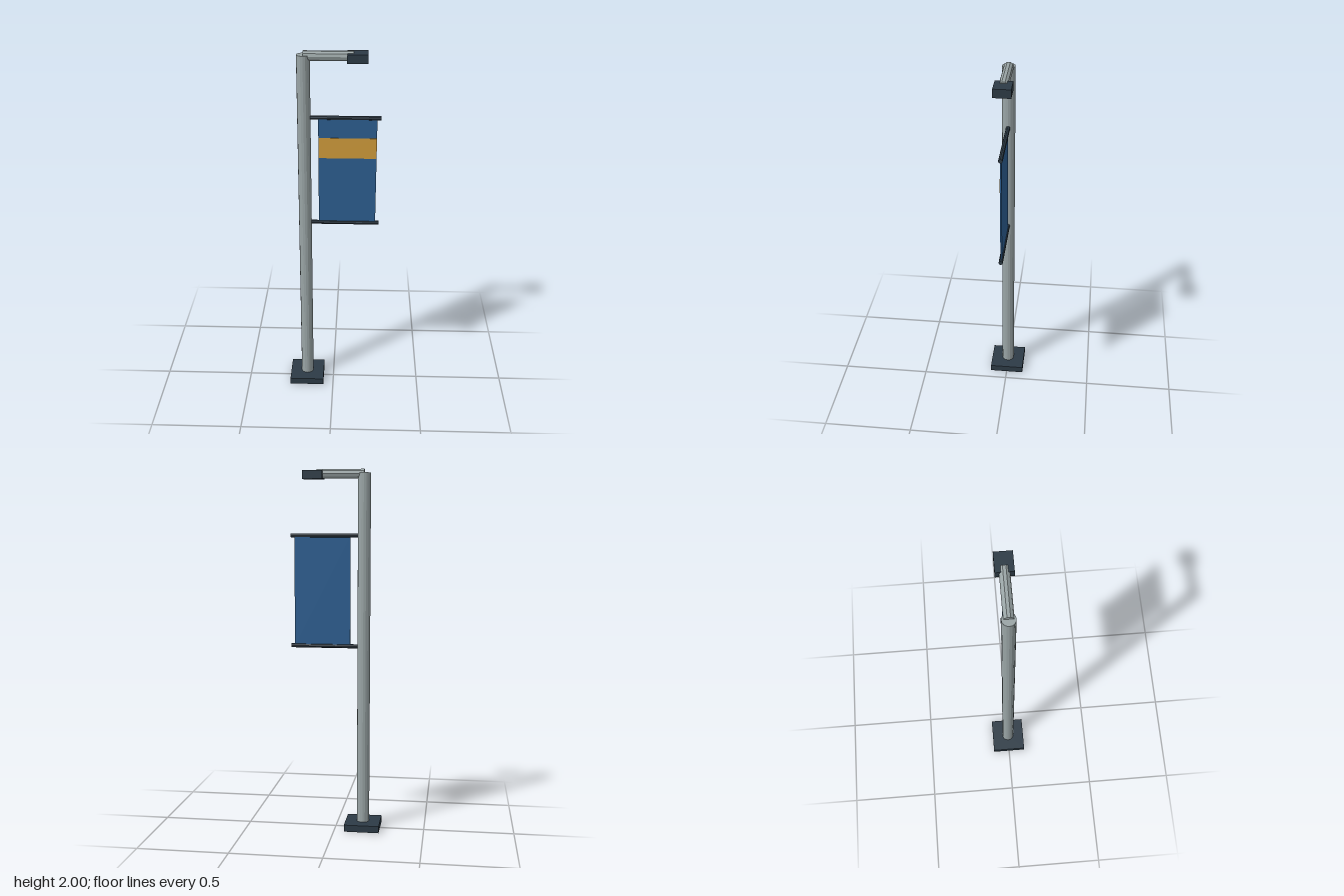
import * as THREE from 'three';

const material = (name, color, flatShading = false) => {
  const m = new THREE.MeshStandardMaterial({ color, flatShading });
  m.name = name;
  return m;
};

export function createModel() {
  const group = new THREE.Group();
  group.name = 'bannerLampPost';
  const steel = material('paleSteel', 0x9aa5a6, true);
  const dark = material('darkSlate', 0x2d3b46, true);
  const blue = material('bannerBlue', 0x2d5f92);
  const gold = material('stripeGold', 0xd29e3c);

  const add = (name, geometry, mat, x, y, z = 0) => {
    const mesh = new THREE.Mesh(geometry, mat);
    mesh.name = name;
    mesh.position.set(x, y, z);
    group.add(mesh);
    return mesh;
  };
  const box = (name, mat, w, h, d, x, y, z) =>
    add(name, new THREE.BoxGeometry(w, h, d), mat, x, y, z);
  // Horizontal bar running from x0 to x1
  const bar = (name, mat, r, sides, x0, x1, y) =>
    add(name, new THREE.CylinderGeometry(r, r, x1 - x0, sides).rotateZ(-Math.PI / 2), mat, (x0 + x1) / 2, y);

  const poleX = -0.155;

  // Foot and post; the post end shows through the underside
  box('basePlate', dark, 0.195, 0.038, 0.195, poleX, 0.02);
  add('pole', new THREE.CylinderGeometry(0.035, 0.035, 1.98, 16), steel, poleX, 0.99);

  // Lamp arm and lamp head
  bar('lampArm', steel, 0.026, 10, poleX, 0.104, 1.975);
  box('lampHead', dark, 0.107, 0.046, 0.092, 0.124, 1.97);

  // Banner hung between two rods
  for (const [name, y] of [['upperRod', 1.645], ['lowerRod', 1.037]]) {
    bar(name, dark, 0.0115, 8, poleX, 0.25, y);
  }
  box('banner', blue, 0.31, 0.608, 0.008, 0.075, 1.341);
  // Painted stripe on the front face only
  box('bannerStripe', gold, 0.31, 0.114, 0.002, 0.075, 1.476, 0.0045);

  return group;
}
